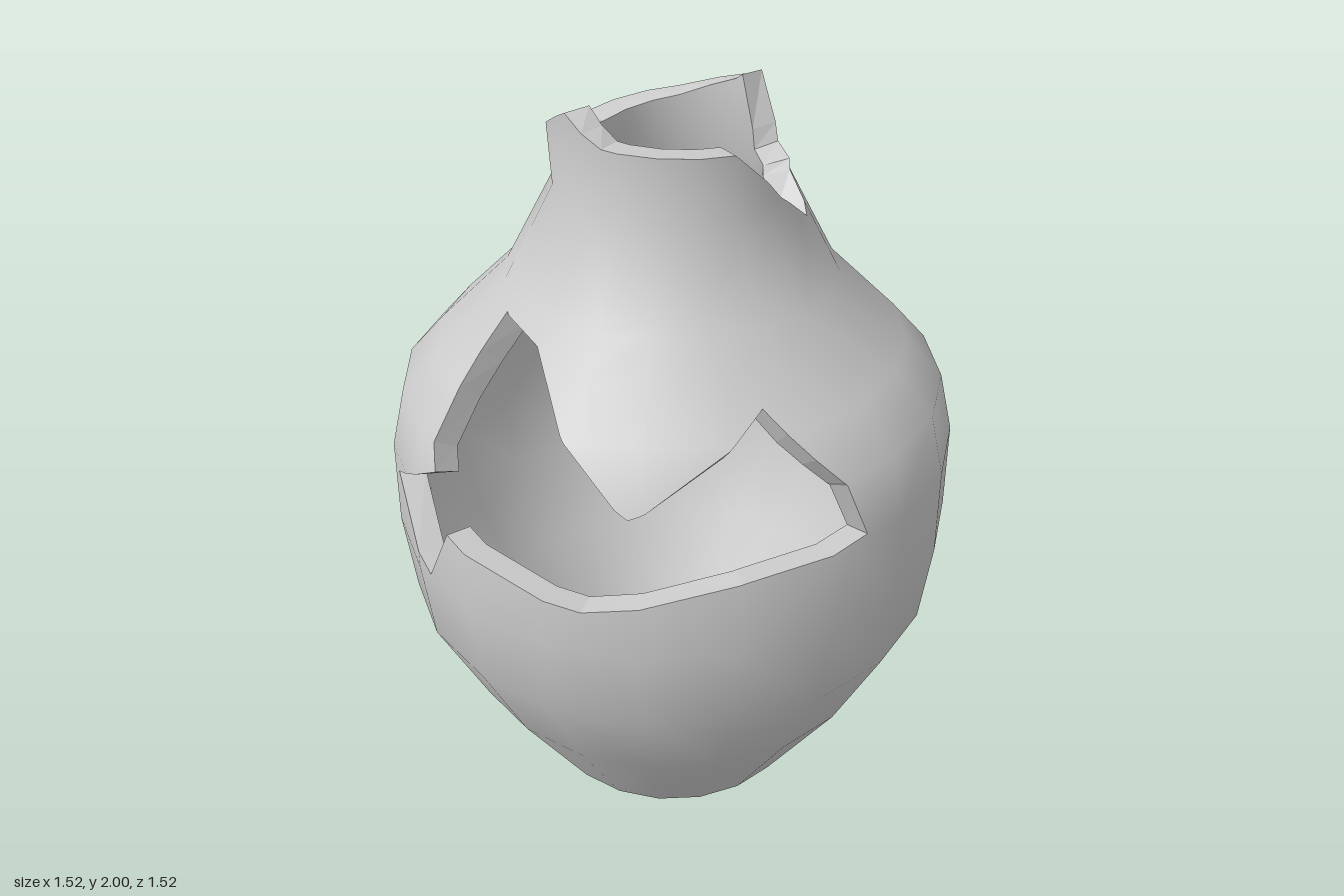
import * as THREE from 'three';

const SIDES = 20, STEP = (Math.PI * 2) / SIDES, THICK = 0.07;

// Outer silhouette: radius, height
const profile = [
  [0.385, 0], [0.6, 0.34], [0.735, 0.62], [0.76, 0.85], [0.755, 1.09],
  [0.715, 1.25], [0.615, 1.36], [0.43, 1.54], [0.3, 1.78], [0.312, 2.0],
].map(([r, y]) => new THREE.Vector2(r, y));

// Averaged outward normals of the silhouette, and the inner silhouette offset along them
const segNormals = profile.slice(1).map((p, i) => {
  const d = p.clone().sub(profile[i]).normalize();
  return new THREE.Vector2(d.y, -d.x);
});
const normals = profile.map((p, i) =>
  (segNormals[i - 1] ?? segNormals[i]).clone().add(segNormals[i] ?? segNormals[i - 1]).normalize());
const inner = profile.map((p, i) => p.clone().addScaledVector(normals[i], -THICK));

// Broken edges as (angle from the front, height)
const rim = [
  [-Math.PI, 1.965], [-2.5, 1.91], [-1.57, 1.87], [-1.1, 1.88], [-0.75, 1.92], [-0.2, 2.0],
  [0.17, 1.94], [0.75, 1.935], [1.22, 1.93], [2.1, 1.7], [2.5, 1.8], [2.75, 1.82],
  [3.04, 1.98], [Math.PI, 1.965],
].map(([u, v]) => new THREE.Vector2(u, v));
const hole = [
  [-0.56, 1.035], [-0.2, 1.18], [-0.35, 1.51], [0, 1.49], [0.588, 1.23], [1.115, 1.41],
  [1.346, 1.24], [1.41, 1.1], [0.95, 1.07], [0.437, 0.97], [-0.106, 1.04], [-0.24, 0.86],
].map(([u, v]) => new THREE.Vector2(u, v));

const uLines = Array.from({ length: SIDES + 1 }, (_, k) => -Math.PI + k * STEP);
const vLines = profile.map((p) => p.y);

// Point on the faceted wall at angle u and height v
function wallPoint(u, v, curve) {
  let i = 0;
  while (i < profile.length - 2 && v > profile[i + 1].y) i++;
  const f = (v - profile[i].y) / (profile[i + 1].y - profile[i].y);
  const p = curve[i].clone().lerp(curve[i + 1], f);
  const n = normals[i].clone().lerp(normals[i + 1], f).normalize();
  const k = Math.floor(u / STEP + 1e-7), g = u / STEP - k;
  const a = k * STEP, b = a + STEP;
  const s = Math.sin(a) * (1 - g) + Math.sin(b) * g;
  const c = Math.cos(a) * (1 - g) + Math.cos(b) * g;
  return {
    position: [s * p.x, p.y, c * p.x],
    normal: [Math.sin(u) * n.x, n.y, Math.cos(u) * n.x],
  };
}

// Keeps the part of a convex polygon where sign * axis >= sign * limit
function clip(poly, axis, limit, sign) {
  const out = [];
  poly.forEach((a, i) => {
    const b = poly[(i + 1) % poly.length];
    const da = sign * (a[axis] - limit), db = sign * (b[axis] - limit);
    if (da >= 0) out.push(a);
    if (da * db < 0) out.push(a.clone().lerp(b, da / (da - db)));
  });
  return out;
}

function bands(polys, axis, lines) {
  const out = [];
  for (const poly of polys) {
    for (let i = 0; i < lines.length - 1; i++) {
      const p = clip(clip(poly, axis, lines[i], 1), axis, lines[i + 1], -1);
      if (p.length > 2 && Math.abs(THREE.ShapeUtils.area(p)) > 1e-9) out.push(p);
    }
  }
  return out;
}

function makeMesh(name, positions, norms) {
  const geo = new THREE.BufferGeometry();
  geo.setAttribute('position', new THREE.Float32BufferAttribute(positions, 3));
  if (norms) geo.setAttribute('normal', new THREE.Float32BufferAttribute(norms, 3));
  else geo.computeVertexNormals();
  const mesh = new THREE.Mesh(geo, new THREE.MeshStandardMaterial({ color: 0xcccccc }));
  mesh.name = name;
  return mesh;
}

// Smooth wall surface, facing outwards or inwards
function wallSurface(name, cells, curve, inward) {
  const positions = [], norms = [];
  for (const cell of cells) {
    for (let i = 1; i < cell.length - 1; i++) {
      const tri = [cell[0], cell[i], cell[i + 1]];
      if (inward) tri.reverse();
      for (const q of tri) {
        const { position, normal } = wallPoint(q.x, q.y, curve);
        positions.push(...position);
        norms.push(...normal.map((n) => (inward ? -n : n)));
      }
    }
  }
  return makeMesh(name, positions, norms);
}

// Flat fracture faces joining outer and inner walls along a path
function fracture(name, path) {
  const positions = [];
  for (let i = 0; i < path.length - 1; i++) {
    const a = path[i], b = path[i + 1];
    const cuts = [0, 1];
    for (const [axis, lines] of [['x', uLines], ['y', vLines]]) {
      for (const l of lines) {
        const t = (l - a[axis]) / (b[axis] - a[axis]);
        if (t > 1e-4 && t < 1 - 1e-4) cuts.push(t);
      }
    }
    cuts.sort((m, n) => m - n);
    for (let j = 0; j < cuts.length - 1; j++) {
      const [p, q] = [cuts[j], cuts[j + 1]].map((t) => a.clone().lerp(b, t));
      const at = (w, curve) => wallPoint(w.x, w.y, curve).position;
      const oa = at(p, profile), ob = at(q, profile), ia = at(p, inner), ib = at(q, inner);
      positions.push(...oa, ...ia, ...ib, ...oa, ...ib, ...ob);
    }
  }
  return makeMesh(name, positions);
}

function disc(name, radius, y, tilt) {
  const geo = new THREE.CircleGeometry(radius, SIDES).rotateX(tilt);
  const mesh = new THREE.Mesh(geo, new THREE.MeshStandardMaterial({ color: 0xcccccc }));
  mesh.position.y = y;
  mesh.name = name;
  return mesh;
}

export function createModel() {
  const group = new THREE.Group();
  group.name = 'brokenJar';

  // Unrolled wall with its hole, cut along the facet lines
  const rimBack = rim.slice().reverse();
  const contour = [new THREE.Vector2(-Math.PI, 0), new THREE.Vector2(Math.PI, 0), ...rimBack];
  const flat = [...contour, ...hole];
  const triangles = THREE.ShapeUtils.triangulateShape(contour, [hole]).map((t) => {
    const tri = t.map((i) => flat[i]);
    return THREE.ShapeUtils.area(tri) < 0 ? tri.reverse() : tri;
  });
  const cells = bands(bands(triangles, 'x', uLines), 'y', vLines);

  group.add(
    wallSurface('outerWall', cells, profile, false),
    wallSurface('innerWall', cells, inner, true),
    fracture('brokenRim', rimBack),
    fracture('holeEdge', [...hole, hole[0]]),
    disc('base', profile[0].x, 0, Math.PI / 2),
    disc('innerFloor', inner[0].x, inner[0].y, -Math.PI / 2),
  );
  return group;
}
